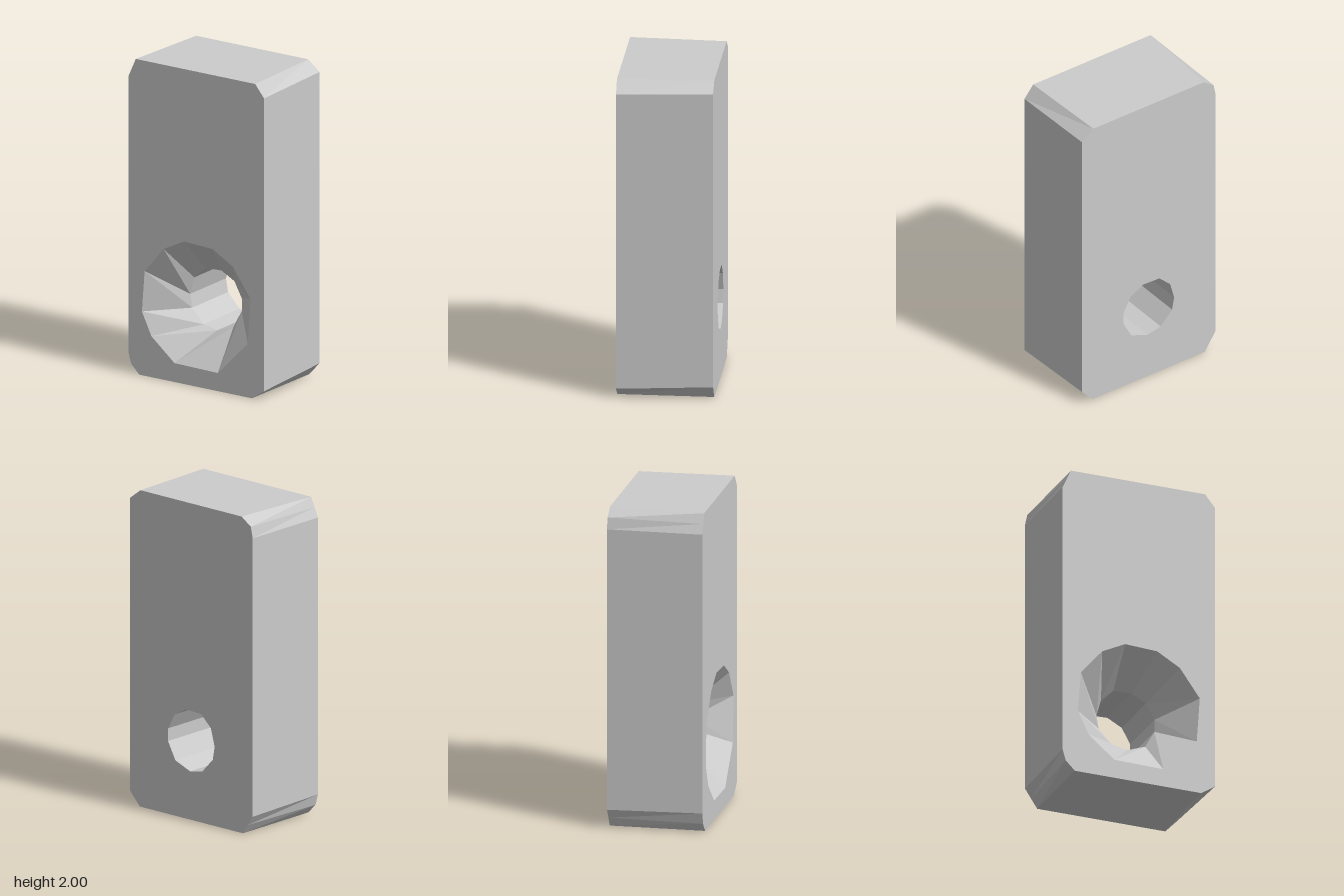
import * as THREE from 'three';

const FRONT = 0.295, SEAT = 0.085, BACK = -0.295;

// Block outlines, counter-clockwise from the front, with roughly chipped corners
const frontOutline = [[0.41, 0], [0.5, 0.06], [0.5, 1.92], [0.435, 2], [-0.445, 2],
  [-0.4725, 1.94], [-0.5, 1.88], [-0.5, 0.13], [-0.48, 0.06], [-0.42, 0]];
const backOutline = [[0.42, 0], [0.5, 0.085], [0.5, 1.935], [0.415, 2], [-0.41, 2],
  [-0.485, 1.95], [-0.5, 1.88], [-0.5, 0.12], [-0.46, 0.06], [-0.42, 0]];

// Uneven rings of the countersunk hole, counter-clockwise
const rimRing = [[0.4, 0.63], [0.27, 0.81], [0.12, 0.895], [-0.09, 0.905], [-0.24, 0.83],
  [-0.38, 0.665], [-0.4, 0.405], [-0.33, 0.26], [-0.16, 0.12], [0.16, 0.115], [0.38, 0.34]];
const boreRing = [[0.19, 0.54], [0.135, 0.64], [0.04, 0.69], [-0.08, 0.685], [-0.16, 0.61],
  [-0.19, 0.5], [-0.175, 0.415], [-0.09, 0.325], [0.01, 0.305], [0.13, 0.35], [0.19, 0.46]];

const toVectors = (ring) => ring.map(([x, y]) => new THREE.Vector2(x, y));

function part(name, geometry) {
  const material = new THREE.MeshStandardMaterial({ color: 0xcccccc, flatShading: true });
  const mesh = new THREE.Mesh(geometry, material);
  mesh.name = name;
  return mesh;
}

// Flat plate with the hole cut out, facing front or back
function plate(outline, hole, z, facesBack) {
  const shape = new THREE.Shape(toVectors(outline));
  shape.holes.push(new THREE.Path(toVectors(hole)));
  const geometry = new THREE.ShapeGeometry(shape).translate(0, 0, z);
  if (facesBack) {
    geometry.setIndex(Array.from(geometry.index.array).reverse());
    geometry.computeVertexNormals();
  }
  return geometry;
}

// Band of facets between a nearer ring and a farther ring
function band(near, zNear, far, zFar, inward) {
  const positions = [];
  const n = near.length;
  for (let i = 0; i < n; i++) {
    const j = (i + 1) % n;
    const a = [...near[i], zNear], b = [...near[j], zNear];
    const c = [...far[j], zFar], d = [...far[i], zFar];
    const corners = inward ? [a, b, c, a, c, d] : [a, c, b, a, d, c];
    positions.push(...corners.flat());
  }
  const geometry = new THREE.BufferGeometry();
  geometry.setAttribute('position', new THREE.Float32BufferAttribute(positions, 3));
  geometry.computeVertexNormals();
  return geometry;
}

export function createModel() {
  const group = new THREE.Group();
  group.name = 'countersunkBlock';
  group.add(
    part('frontFace', plate(frontOutline, rimRing, FRONT, false)),
    part('backFace', plate(backOutline, boreRing, BACK, true)),
    part('sides', band(frontOutline, FRONT, backOutline, BACK, false)),
    part('countersink', band(rimRing, FRONT, boreRing, SEAT, true)),
    part('bore', band(boreRing, SEAT, boreRing, BACK, true)),
  );
  return group;
}
